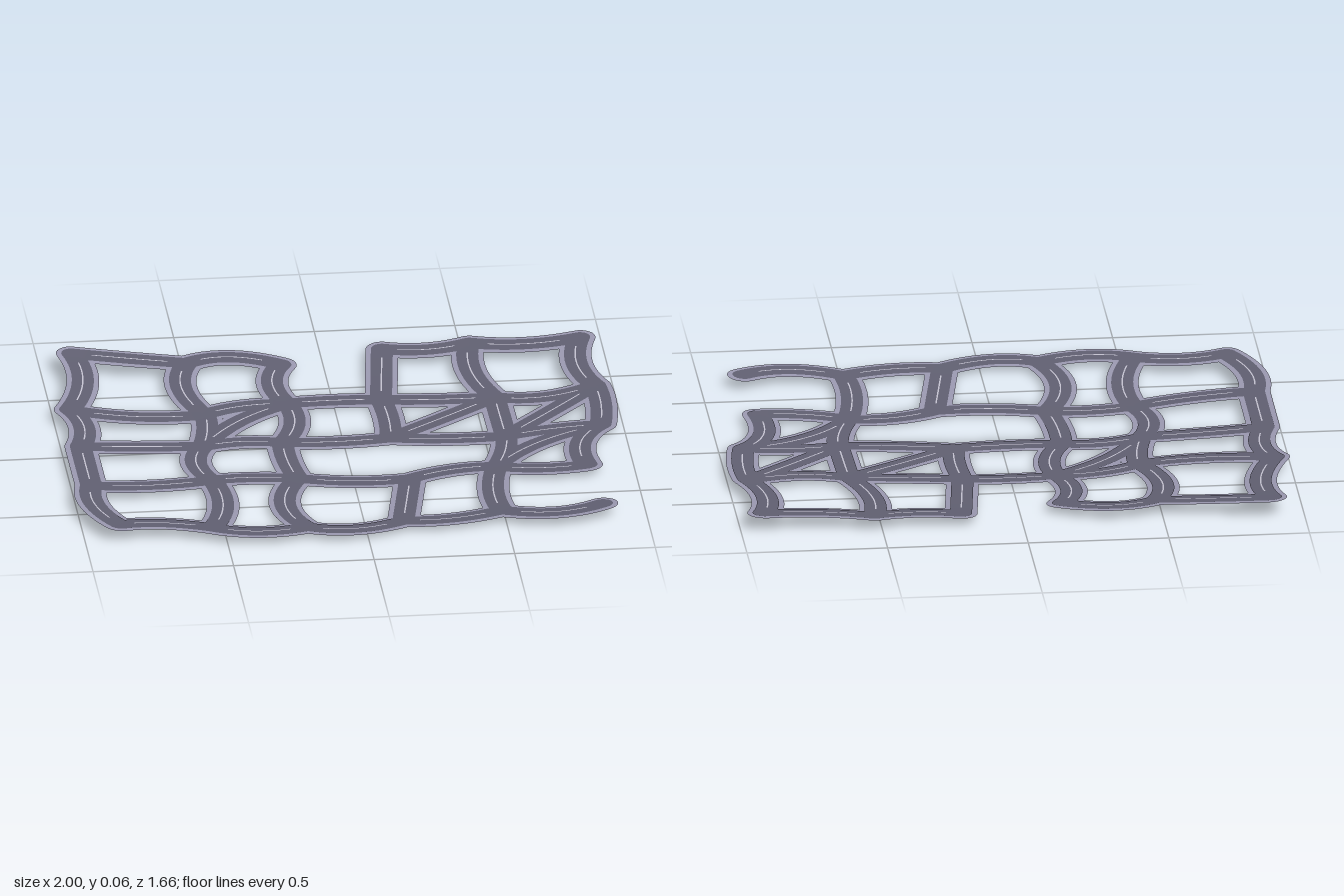
import * as THREE from 'three';
import { mergeGeometries } from 'three/addons/utils/BufferGeometryUtils.js';

// Junctions of the street grid: five rows (a-e, back to front), six columns, as [x, z]
const rows = {
  a: [[-0.885, -0.775], [-0.485, -0.7], [-0.155, -0.675], [0.215, -0.76], [0.525, -0.765], [0.915, -0.74]],
  b: [[-0.94, -0.33], [-0.465, -0.29], [-0.165, -0.365], [0.17, -0.365], [0.57, -0.33], [0.93, -0.36]],
  c: [[-0.935, -0.02], [-0.5, -0.02], [-0.215, -0.04], [0.17, -0.045], [0.575, 0], [0.915, -0.03]],
  d: [[-0.935, 0.33], [-0.5, 0.28], [-0.195, 0.28], [0.2, 0.325], [0.515, 0.26], [0.83, 0.305]],
  e: [[-0.87, 0.695], [-0.545, 0.725], [-0.21, 0.735], [0.135, 0.71], [0.49, 0.665], [0.845, 0.675]],
};

// Streets: from, to and the point the curve passes halfway (omitted when straight)
const streets = [
  // across
  ['a0', 'a1'], ['a1', 'a2', -0.33, -0.74], ['a3', 'a4', 0.37, -0.735], ['a4', 'a5', 0.715, -0.725],
  ['b0', 'b1', -0.70, -0.275], ['b1', 'b2', -0.33, -0.35], ['b2', 'b3', 0, -0.375],
  ['b3', 'b4', 0.37, -0.34], ['b4', 'b5', 0.745, -0.3],
  ['c0', 'c1'], ['c1', 'c2', -0.36, -0.055], ['c2', 'c3', -0.02, -0.03],
  ['c3', 'c4', 0.365, -0.01], ['c4', 'c5', 0.745, -0.03],
  ['d0', 'd1', -0.715, 0.325], ['d1', 'd2', -0.355, 0.265], ['d2', 'd3', 0, 0.325],
  ['d3', 'd4', 0.355, 0.265], ['d4', 'd5', 0.67, 0.305],
  ['e0', 'e1', -0.715, 0.68], ['e1', 'e2', -0.385, 0.77], ['e2', 'e3', -0.045, 0.77],
  ['e3', 'e4', 0.31, 0.715], ['e4', 'e5', 0.675, 0.72],
  // back to front
  ['a0', 'b0', -0.87, -0.56], ['a1', 'b1', -0.525, -0.51], ['a2', 'b2', -0.2, -0.53],
  ['a3', 'b3'], ['a4', 'b4', 0.51, -0.55], ['a5', 'b5', 0.885, -0.55],
  ['b0', 'c0', -0.905, -0.185], ['b1', 'c1', -0.47, -0.16], ['b2', 'c2', -0.155, -0.2],
  ['b3', 'c3', 0.18, -0.2], ['b4', 'c4'], ['b5', 'c5', 0.935, -0.2],
  ['c0', 'd0'], ['c1', 'd1', -0.54, 0.125], ['c2', 'd2', -0.215, 0.12],
  ['c4', 'd4', 0.56, 0.125], ['c5', 'd5', 0.83, 0.11],
  ['d0', 'e0', -0.94, 0.51], ['d1', 'e1', -0.485, 0.51], ['d2', 'e2', -0.265, 0.51],
  ['d3', 'e3'], ['d4', 'e4', 0.48, 0.47],
  // diagonals
  ['c1', 'b2', -0.355, -0.225], ['c3', 'b4'], ['c4', 'b5'], ['d4', 'c5', 0.68, 0.08],
];

// Gentle bowl of the ground
const ground = (x, z) => 0.03 * x * x + (z < 0 ? 0.045 : 0.03) * z * z - 0.003 * x;

const node = (key) => new THREE.Vector2(...rows[key[0]][+key[1]]);

function streetCurve([from, to, mx, mz]) {
  const p = node(from), q = node(to);
  const centre = p.clone().add(q).multiplyScalar(0.5);
  const mid = mx === undefined ? centre : new THREE.Vector2(mx, mz);
  return new THREE.QuadraticBezierCurve(p, mid.clone().multiplyScalar(2).sub(centre), q);
}

// Flat strip along a curve, draped on the ground
function ribbon(curve, width, lift, t0 = 0, t1 = 1) {
  const steps = 16, pos = [], index = [];
  for (let i = 0; i <= steps; i++) {
    const t = t0 + (t1 - t0) * i / steps;
    const p = curve.getPoint(t), d = curve.getTangent(t);
    for (const s of [-width / 2, width / 2]) {
      const x = p.x - d.y * s, z = p.y + d.x * s;
      pos.push(x, ground(x, z) + lift, z);
    }
    if (i < steps) {
      const a = i * 2;
      index.push(a, a + 1, a + 2, a + 1, a + 3, a + 2);
    }
  }
  const g = new THREE.BufferGeometry();
  g.setAttribute('position', new THREE.Float32BufferAttribute(pos, 3));
  g.setIndex(index);
  g.computeVertexNormals();
  return g;
}

// Round pad that joins the streets at a junction
function pad([x, z], width, lift) {
  const g = new THREE.CircleGeometry(width / 2, 24).rotateX(-Math.PI / 2).translate(x, 0, z);
  g.deleteAttribute('uv');
  const p = g.attributes.position;
  for (let i = 0; i < p.count; i++) p.setY(i, ground(p.getX(i), p.getZ(i)) + lift);
  g.computeVertexNormals();
  return g;
}

export function createModel() {
  const group = new THREE.Group();
  group.name = 'streetNetwork';
  const curves = streets.map(streetCurve);
  const junctions = Object.values(rows).flat();

  const add = (name, colorName, color, geometries) => {
    const material = new THREE.MeshStandardMaterial({ color, side: THREE.DoubleSide });
    material.name = colorName;
    const mesh = new THREE.Mesh(mergeGeometries(geometries), material);
    mesh.name = name;
    group.add(mesh);
  };
  const layer = (width, lift) => [
    ...curves.map((c) => ribbon(c, width, lift)),
    ...junctions.map((j) => pad(j, width, lift)),
  ];

  // Pavement, seen as a rim from above and as the whole underside
  add('pavement', 'lilac grey', 0x9d9bb3, layer(0.116, 0));
  add('roadSurface', 'slate grey', 0x626173, layer(0.078, 0.002));

  // Thin line down the middle of each street, stopping short of the junctions
  add('centreLines', 'pale grey', 0xc6c4d2, curves.map((c) => ribbon(c, 0.005, 0.0035, 0.17, 0.83)));
  return group;
}
